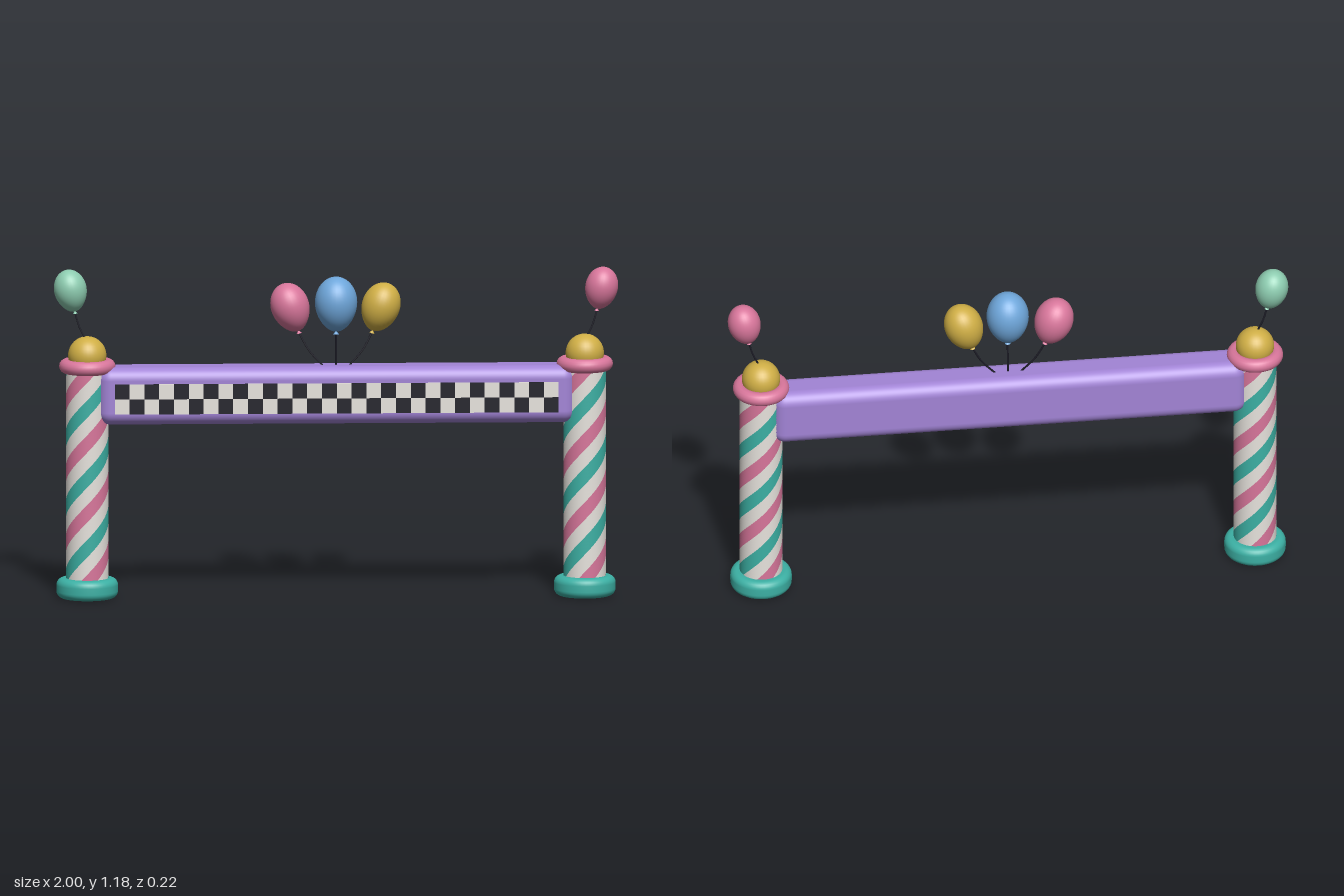
import * as THREE from 'three';
import { RoundedBoxGeometry } from 'three/addons/geometries/RoundedBoxGeometry.js';
import { mergeGeometries } from 'three/addons/utils/BufferGeometryUtils.js';

const mat = (name, color) => {
  const m = new THREE.MeshStandardMaterial({ color });
  m.name = name;
  return m;
};

export function createModel() {
  const pink = mat('pink', 0xd8769b);
  const teal = mat('teal', 0x3cb0a4);
  const purple = mat('purple', 0xa284d6);
  const gold = mat('gold', 0xcfae45);
  const blue = mat('blue', 0x6ea6da);
  const mint = mat('mint', 0x8dccb0);
  const white = mat('white', 0xeeeae4);
  const black = mat('black', 0x1c1c26);

  const model = new THREE.Group();
  model.name = 'finishArch';
  const add = (parent, name, geometry, material, x = 0, y = 0, z = 0) => {
    const mesh = new THREE.Mesh(geometry, material);
    mesh.name = name;
    mesh.position.set(x, y, z);
    parent.add(mesh);
    return mesh;
  };

  // One helical band of a post: an eighth of the circle, twisted with height
  const radius = 0.076, bottom = 0.05, top = 0.83, pitch = 0.5;
  const helixBand = (startAngle) => {
    const g = new THREE.PlaneGeometry(1, 1, 6, 64);
    const p = g.attributes.position, n = g.attributes.normal;
    for (let i = 0; i < p.count; i++) {
      const y = bottom + (p.getY(i) + 0.5) * (top - bottom);
      const a = startAngle + p.getX(i) * Math.PI / 4 + (y - 0.19) / pitch * Math.PI * 2;
      p.setXYZ(i, radius * Math.sin(a), y, radius * Math.cos(a));
      n.setXYZ(i, Math.sin(a), 0, Math.cos(a));
    }
    return g;
  };
  const bands = (first) => mergeGeometries(
    [0, 1].map(k => helixBand((first + k * 4) * Math.PI / 4)));
  const whiteBands = mergeGeometries([1, 3, 5, 7].map(k => helixBand(k * Math.PI / 4)));

  // Rounded foot profile
  const footProfile = [new THREE.Vector2(0, 0)];
  for (const [cy, from] of [[0.025, -90], [0.047, 0]])
    for (let i = 0; i <= 6; i++) {
      const a = (from + i * 15) * Math.PI / 180;
      footProfile.push(new THREE.Vector2(0.084 + 0.025 * Math.cos(a), cy + 0.025 * Math.sin(a)));
    }
  footProfile.push(new THREE.Vector2(0, 0.072));

  for (const side of [-1, 1]) {
    const post = new THREE.Group();
    post.name = side > 0 ? 'leftPost' : 'rightPost';
    post.position.x = side * 0.881;
    model.add(post);
    add(post, 'foot', new THREE.LatheGeometry(footProfile, 48), teal);
    add(post, 'tealStripes', bands(0), teal);
    add(post, 'pinkStripes', bands(2), pink);
    add(post, 'whiteStripes', whiteBands, white);
    add(post, 'collar', new THREE.TorusGeometry(0.075, 0.025, 16, 48).rotateX(Math.PI / 2), pink, 0, 0.83);
    add(post, 'dome', new THREE.SphereGeometry(0.068, 32, 20), gold, 0, 0.868);
  }

  // Banner beam
  add(model, 'beam', new RoundedBoxGeometry(1.69, 0.205, 0.15, 6, 0.045), purple, 0, 0.7275, 0);

  // Checkered strip on the front face
  const columns = 30, cellW = 1.572 / columns, cellH = 0.054;
  const cells = [[], []];
  for (let c = 0; c < columns; c++)
    for (let r = 0; r < 2; r++)
      cells[(c + r) % 2].push(new THREE.BoxGeometry(cellW, cellH, 0.004)
        .translate((c - (columns - 1) / 2) * cellW, 0.748 - r * cellH, 0.0755));
  add(model, 'blackChecks', mergeGeometries(cells[0]), black);
  add(model, 'whiteChecks', mergeGeometries(cells[1]), white);

  // Egg-shaped balloon with a knot, plus its curved string
  const balloon = (name, material, r, [x, y, z], tilt, anchor) => {
    const group = new THREE.Group();
    group.name = name;
    model.add(group);
    const profile = [];
    for (let i = 0; i <= 24; i++) {
      const t = i / 24 * Math.PI, c = Math.cos(t);
      const taper = c > 0 ? 1 - 0.12 * c * c : 1;
      profile.push(new THREE.Vector2(Math.max(0, r * Math.sin(t) * taper), -r * c * (c > 0 ? 1.4 : 1.22)));
    }
    const body = add(group, 'balloonBody', new THREE.LatheGeometry(profile, 32), material, x, y, z);
    body.rotation.z = tilt;
    const knot = add(body, 'knot', new THREE.ConeGeometry(r * 0.14, r * 0.18, 12), material, 0, -r * 1.44, 0);
    const end = new THREE.Vector3(0, -r * 1.48, 0)
      .applyAxisAngle(new THREE.Vector3(0, 0, 1), tilt).add(body.position);
    const start = new THREE.Vector3(...anchor);
    const mid = start.clone().lerp(end, 0.5);
    mid.x += (end.x - start.x) * 0.12;
    add(group, 'string', new THREE.TubeGeometry(
      new THREE.CatmullRomCurve3([start, mid, end]), 12, 0.0035, 6), black);
  };
  balloon('rightPostBalloon', mint, 0.058, [-0.941, 1.105, 0], 0.2, [-0.885, 0.92, 0]);
  balloon('leftPostBalloon', pink, 0.058, [0.941, 1.105, 0], -0.2, [0.885, 0.92, 0]);
  balloon('pinkBalloon', pink, 0.068, [-0.163, 1.04, -0.01], 0.32, [-0.04, 0.82, 0]);
  balloon('blueBalloon', blue, 0.075, [0, 1.055, 0.01], 0, [0, 0.82, 0]);
  balloon('goldBalloon', gold, 0.068, [0.16, 1.04, -0.01], -0.32, [0.04, 0.82, 0]);

  return model;
}
